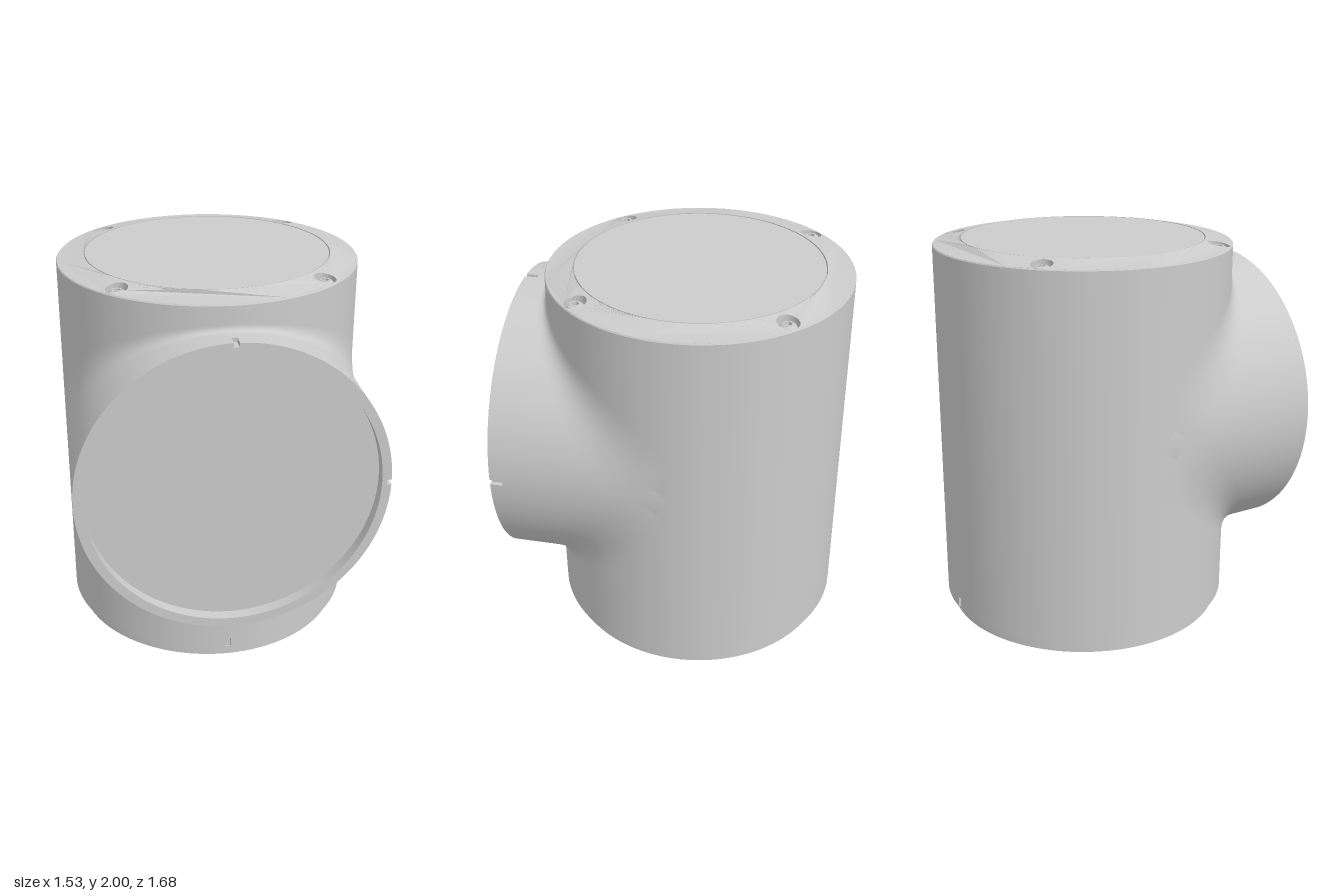
import * as THREE from 'three';
import { toCreasedNormals } from 'three/addons/utils/BufferGeometryUtils.js';

const R = 0.767;          // radius of body and branch
const AXIS_Z = -0.073;    // body axis
const BRANCH_Y = 1.08;    // branch axis height
const FRONT_Z = 0.84;     // branch front face
const CAP_R = 0.627;      // edge of the raised top disc
const grey = new THREE.MeshStandardMaterial({ color: 0xcccccc, side: THREE.DoubleSide });

function add(parent, name, geometry, x = 0, y = 0, z = 0) {
  const mesh = new THREE.Mesh(geometry, grey);
  mesh.name = name;
  mesh.position.set(x, y, z);
  parent.add(mesh);
  return mesh;
}

function lathe(points, segments = 180) {
  const geo = new THREE.LatheGeometry(points.map(p => new THREE.Vector2(...p)), segments, Math.PI / 180);
  return toCreasedNormals(geo, 0.4);
}

// Circle outline with small slots cut at the given angles (degrees)
function slottedCircle(radius, slots, depth = 0.022) {
  const pts = [];
  const push = (r, deg) => {
    const a = THREE.MathUtils.degToRad(deg);
    pts.push(new THREE.Vector2(r * Math.cos(a), r * Math.sin(a)));
  };
  for (let deg = -1; deg < 359; deg += 2) {
    push(radius, deg);
    if (slots.includes(deg + 1)) {
      push(radius - depth, deg);
      push(radius - depth, deg + 2);
    }
  }
  return new THREE.Shape(pts);
}

function hole(x, y, r) {
  return new THREE.Path().absarc(x, y, r, 0, Math.PI * 2, true);
}

function extrude(shape, depth, curveSegments = 90) {
  return new THREE.ExtrudeGeometry(shape, { depth, bevelEnabled: false, curveSegments });
}

// Blend between body and branch, wide at the sides and tight at the crown
function blendGeometry() {
  const geo = new THREE.PlaneGeometry(1, 1, 120, 14);
  const p = geo.attributes.position;
  for (let i = 0; i < p.count; i++) {
    const t = Math.PI * (0.5 - p.getX(i));
    const v = p.getY(i) + 0.5;
    const s = Math.sin(t);
    const w = 0.27 * (1 - s) + 0.03;
    p.setXYZ(i, R * Math.cos(t), R * s + w * v * v, R * s + w * (1 - v) * (1 - v));
  }
  geo.computeVertexNormals();
  return geo;
}

// Sloping ring round the top, with four screw recesses
function capRingGeometry(spots) {
  const shape = slottedCircle(0.763, []);
  shape.holes.push(hole(0, 0, CAP_R));
  for (const [x, z] of spots) shape.holes.push(hole(x, -z, 0.054));
  const geo = extrude(shape, 0.06).rotateX(-Math.PI / 2);
  const p = geo.attributes.position;
  for (let i = 0; i < p.count; i++) {
    if (p.getY(i) < 0.03) continue;
    const r = Math.hypot(p.getX(i), p.getZ(i));
    p.setY(i, 0.06 - (r - CAP_R) * 0.19);
  }
  return toCreasedNormals(geo, 0.4);
}

function makeScrew() {
  const screw = new THREE.Group();
  screw.name = 'screw';
  add(screw, 'screwHead', lathe([
    [0.044, 0], [0.044, 0.012], [0.038, 0.024], [0.03, 0.03], [0.021, 0.032], [0.021, 0.012], [0, 0.012],
  ], 24));
  // hexagonal socket
  const face = new THREE.Shape().absarc(0, 0, 0.026, 0, Math.PI * 2);
  const hex = new THREE.Path();
  for (let i = 0; i < 6; i++) {
    const a = -i * Math.PI / 3;
    hex[i ? 'lineTo' : 'moveTo'](0.019 * Math.cos(a), 0.019 * Math.sin(a));
  }
  hex.closePath();
  face.holes.push(hex);
  add(screw, 'screwSocket', extrude(face, 0.02, 16).rotateX(-Math.PI / 2), 0, 0.013, 0);
  return screw;
}

export function createModel() {
  const model = new THREE.Group();
  model.name = 'pipeTeeHousing';

  // Upright body, standing on a slightly narrower spigot
  const body = new THREE.Group();
  body.name = 'body';
  body.position.z = AXIS_Z;
  model.add(body);
  add(body, 'spigot', lathe([[0, 0], [0.735, 0], [0.735, 0.048], [0.725, 0.052], [0.725, 0.07]]));
  const band = extrude(slottedCircle(R, [90, 270]), 0.06).rotateX(-Math.PI / 2);
  add(body, 'slottedBottomBand', toCreasedNormals(band, 0.4), 0, 0.06, 0);
  add(body, 'bodyWall', lathe([[0, 0.12], [R, 0.12], [R, 1.968], [0.763, 1.974]]));

  // Top: sloping ring, centre disc and screws
  const d = 0.497;
  const spots = [[d, d], [-d, d], [d, -d], [-d, -d]];
  add(body, 'capRing', capRingGeometry(spots), 0, 1.94, 0);
  add(body, 'recessFloor', lathe([[R - 0.005, 1.945], [0, 1.945]]));
  add(body, 'topDisc', lathe([[CAP_R - 0.006, 1.945], [CAP_R - 0.006, 1.999], [0, 1.999]]));
  for (const [x, z] of spots) {
    const screw = makeScrew();
    screw.position.set(x, 1.945, z);
    body.add(screw);
  }

  // Horizontal branch towards the front
  const branch = new THREE.Group();
  branch.name = 'branch';
  branch.position.set(0, BRANCH_Y, AXIS_Z);
  model.add(branch);
  const frontEnd = FRONT_Z - AXIS_Z;
  const rimStart = frontEnd - 0.065;
  const tube = new THREE.CylinderGeometry(R, R, rimStart, 180, 1, true).rotateX(Math.PI / 2);
  add(branch, 'branchWall', tube, 0, 0, rimStart / 2);
  const rim = slottedCircle(R, [0, 90]);
  rim.holes.push(hole(0, 0, 0.72));
  add(branch, 'slottedRim', toCreasedNormals(extrude(rim, 0.065), 0.4), 0, 0, rimStart);
  add(branch, 'recessedFace', new THREE.CircleGeometry(0.74, 120), 0, 0, rimStart + 0.005);

  // Blends above and below the branch
  const blend = blendGeometry();
  add(branch, 'upperBlend', blend);
  add(branch, 'lowerBlend', blend).rotation.z = Math.PI;

  return model;
}
